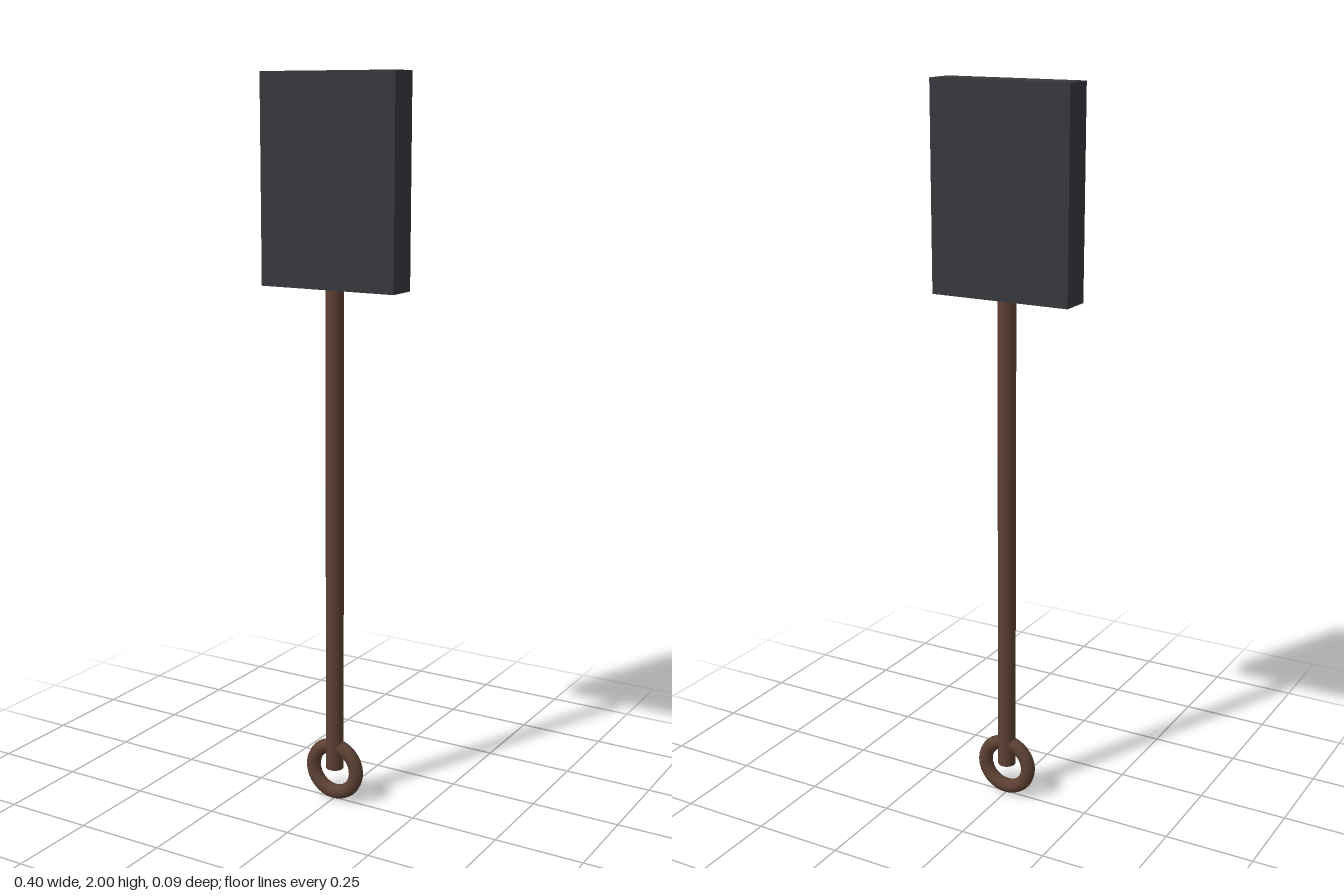
import * as THREE from 'three';

export function createModel() {
  const model = new THREE.Group();
  const wood = new THREE.MeshStandardMaterial({ color: 0x5c4033 });
  const dark = new THREE.MeshStandardMaterial({ color: 0x36383c });

  const add = (name, geometry, material, y) => {
    const mesh = new THREE.Mesh(geometry, material);
    mesh.name = name;
    mesh.position.y = y;
    model.add(mesh);
  };

  // Flat rectangular head
  const headBottom = 1.445;
  add('head', new THREE.BoxGeometry(0.4, 2 - headBottom, 0.089), dark, (2 + headBottom) / 2);

  // Long round handle, running from the ring's centre to the head
  const ringY = 0.089, handleBottom = 0.092;
  add('handle', new THREE.CylinderGeometry(0.025, 0.025, headBottom - handleBottom, 16), wood, (headBottom + handleBottom) / 2);

  // Hanging ring at the foot of the handle
  add('ring', new THREE.TorusGeometry(0.069, 0.02, 12, 32), wood, ringY);

  return model;
}
